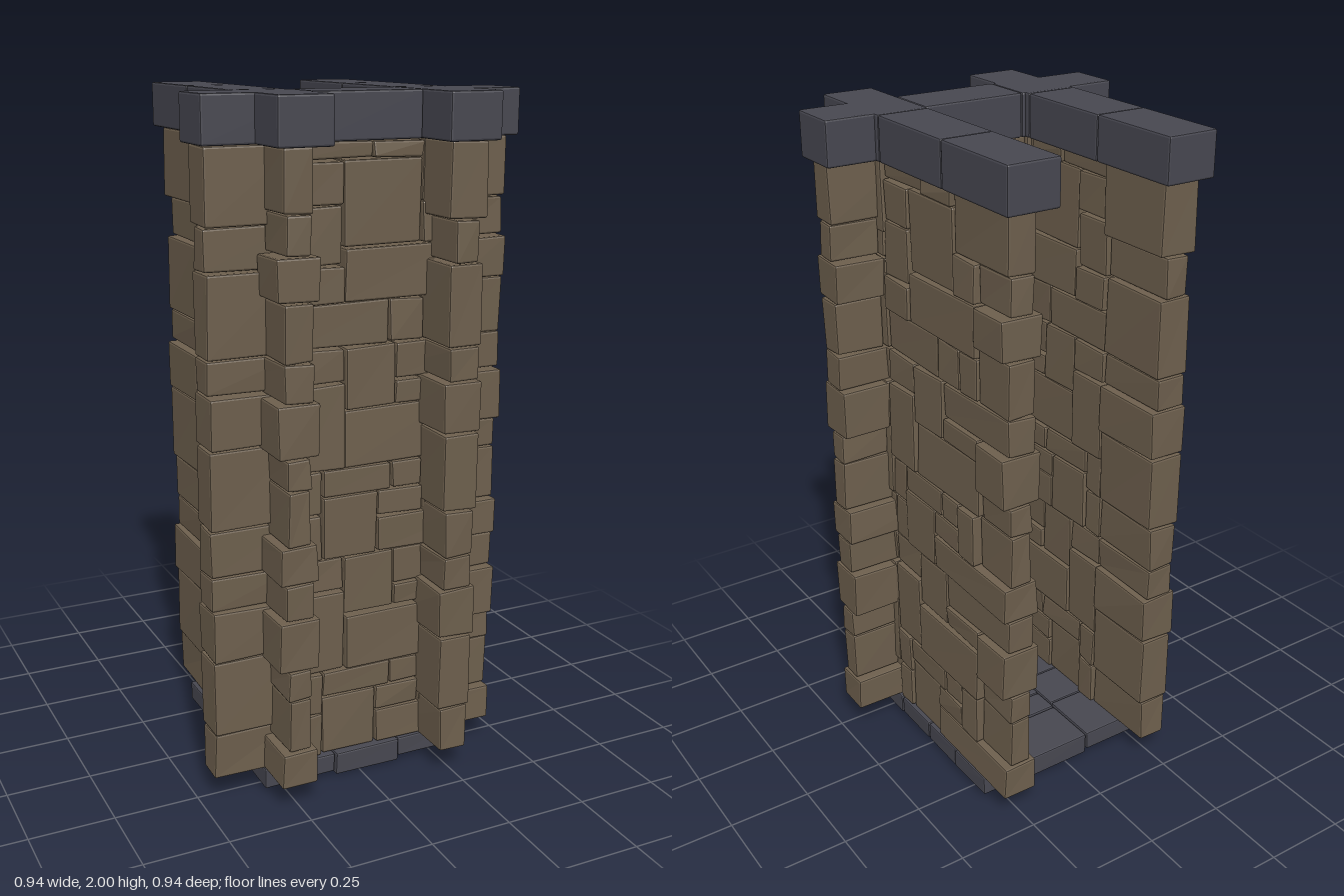
import * as THREE from 'three';
import { RoundedBoxGeometry } from 'three/addons/geometries/RoundedBoxGeometry.js';

const stone = new THREE.MeshStandardMaterial({ color: 0x6d5f4d });
const slate = new THREE.MeshStandardMaterial({ color: 0x474750 });

// Repeatable value from 0 to 1
const hash = (n) => {
  const s = Math.sin(n * 127.1 + 11.7) * 43758.5453;
  return s - Math.floor(s);
};

// Chamfered block between two corners, its eight corners shifted by up to `rough`
function block(name, material, x0, x1, y0, y1, z0, z1, bevel, rough = 0, seed = 0) {
  const geo = new RoundedBoxGeometry(x1 - x0, y1 - y0, z1 - z0, 1, bevel);
  const p = geo.attributes.position;
  for (let i = 0; i < p.count; i++) {
    const corner = (p.getX(i) > 0 ? 1 : 0) + (p.getY(i) > 0 ? 2 : 0) + (p.getZ(i) > 0 ? 4 : 0);
    const shift = (k) => (hash(seed * 31 + corner * 3 + k) - 0.5) * 2 * rough;
    p.setXYZ(i, p.getX(i) + shift(0), p.getY(i) + shift(1), p.getZ(i) + shift(2));
  }
  geo.computeVertexNormals();
  const mesh = new THREE.Mesh(geo, material);
  mesh.name = name;
  mesh.position.set((x0 + x1) / 2, (y0 + y1) / 2, (z0 + z1) / 2);
  return mesh;
}

// Stones of one repeating course: [left, right, bottom, top, thickness]
const PERIOD = 0.62;
const course = [
  [-0.46, -0.2, 0.07, 0.21, 0.09], [-0.46, -0.2, 0.21, 0.44, 0.105],
  [-0.46, -0.2, 0.44, 0.59, 0.12], [-0.46, -0.2, 0.59, 0.69, 0.09],
  [-0.2, -0.12, 0.07, 0.21], [-0.12, 0.055, 0.07, 0.26],
  [0.055, 0.455, 0.07, 0.18, 0.11], [0.055, 0.2, 0.18, 0.26],
  [0.2, 0.29, 0.18, 0.34], [0.29, 0.455, 0.18, 0.34, 0.065],
  [-0.2, -0.12, 0.21, 0.34], [-0.12, 0.1, 0.26, 0.34], [0.1, 0.2, 0.26, 0.34],
  [-0.2, -0.05, 0.34, 0.59], [-0.05, 0.3, 0.34, 0.51],
  [0.3, 0.455, 0.34, 0.43, 0.07], [0.3, 0.455, 0.43, 0.58, 0.12],
  [-0.05, 0.11, 0.51, 0.69], [0.11, 0.3, 0.51, 0.58],
  [0.11, 0.455, 0.58, 0.69, 0.085], [-0.2, -0.05, 0.59, 0.69],
];

// Stones of the last course below the coping
const topCourse = [
  [-0.46, -0.2, 1.31, 1.54, 0.1], [-0.46, -0.2, 1.54, 1.66, 0.075], [-0.46, -0.19, 1.66, 1.87, 0.115],
  [-0.2, 0.09, 1.31, 1.435], [0.09, 0.2, 1.31, 1.435],
  [0.2, 0.3, 1.31, 1.435], [0.3, 0.455, 1.31, 1.47, 0.08],
  [-0.2, -0.055, 1.435, 1.54], [-0.055, 0.3, 1.435, 1.585], [0.3, 0.455, 1.47, 1.59, 0.12],
  [-0.2, -0.06, 1.54, 1.7], [-0.19, -0.055, 1.7, 1.82], [-0.055, 0.185, 1.585, 1.82],
  [0.185, 0.3, 1.585, 1.7], [0.3, 0.455, 1.59, 1.7, 0.07], [0.185, 0.455, 1.7, 1.87, 0.085],
  [-0.19, 0.03, 1.82, 1.87], [0.03, 0.185, 1.82, 1.87],
];

// A wall running along x, facing +z, 0.25 out from the middle
function wall(name, angle, stretch) {
  const group = new THREE.Group();
  group.name = name;
  const lifted = course.map(([a, b, c, d, t]) => [a, b, c + PERIOD, d + PERIOD, t]);
  [...course, ...lifted, ...topCourse].forEach(([x0, x1, y0, y1, t], i) => {
    const half = (t ?? 0.085 + 0.03 * hash(i)) / 2;
    const gap = 0.002;
    group.add(block('wallStone', stone, x0 * stretch + gap, x1 * stretch - gap,
      y0 + gap, y1 - gap, 0.25 - half, 0.25 + half, 0.006, 0.003, i + 1));
  });
  group.rotation.y = angle;
  return group;
}

export function createModel() {
  const model = new THREE.Group();
  model.name = 'stoneTower';

  // Three walls, the back left open
  model.add(wall('frontWall', 0, 1));
  model.add(wall('leftWall', Math.PI / 2, 0.95));
  model.add(wall('rightWall', -Math.PI / 2, 0.95));

  // Floor slabs in three strips
  const floor = new THREE.Group();
  floor.name = 'floor';
  const strips = [
    [-0.31, -0.08, [-0.32, -0.12, 0.035, 0.18, 0.31]],
    [-0.08, 0.132, [-0.32, -0.14, -0.05, 0.12, 0.315]],
    [0.132, 0.31, [-0.32, -0.15, 0.01, 0.18, 0.31]],
  ];
  strips.forEach(([x0, x1, cuts], s) => {
    for (let i = 0; i < cuts.length - 1; i++) {
      const drop = s === 1 ? 0 : 0.01;
      floor.add(block('floorSlab', slate, x0 + 0.002, x1 - 0.002, drop, 0.07,
        cuts[i] + 0.002, cuts[i + 1] - 0.002, 0.005, 0.0015, s * 9 + i));
    }
  });
  model.add(floor);

  // Coping beams along the tops of the walls
  const coping = new THREE.Group();
  coping.name = 'coping';
  const sideCuts = [-0.475, -0.172, 0.15, 0.47];
  const frontCuts = [-0.473, -0.155, 0.166, 0.473];
  for (let i = 0; i < 3; i++) {
    for (const x of [-0.246, 0.246]) {
      coping.add(block('sideCoping', slate, x - 0.079, x + 0.079, 1.87, 2,
        sideCuts[i] + 0.001, sideCuts[i + 1] - 0.001, 0.006));
    }
    coping.add(block('frontCoping', slate, frontCuts[i] + 0.001, frontCuts[i + 1] - 0.001,
      1.87, 2, 0.167, 0.325, 0.006));
  }
  model.add(coping);
  return model;
}
